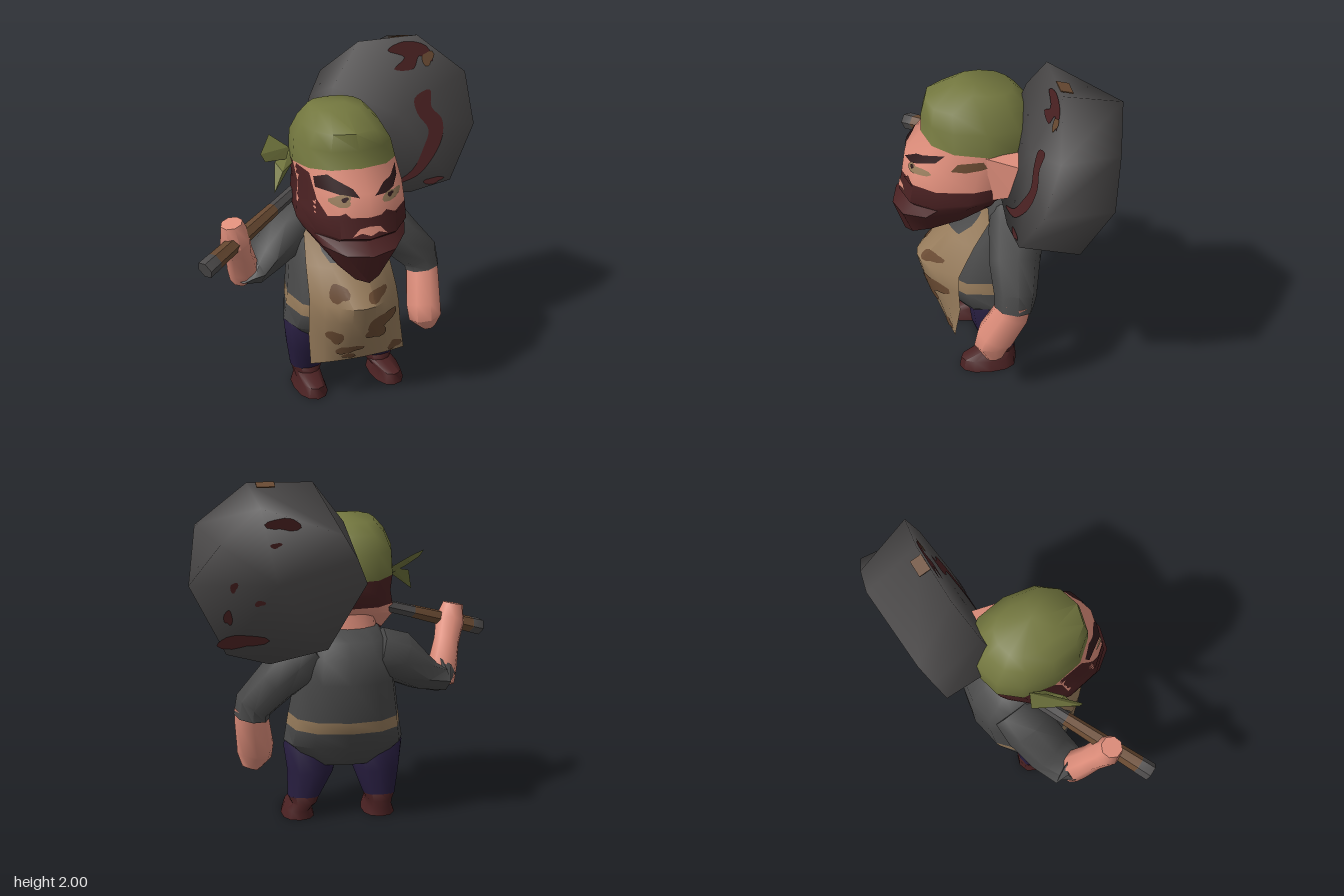
import * as THREE from 'three';
import { toCreasedNormals } from 'three/addons/utils/BufferGeometryUtils.js';
import { ConvexGeometry } from 'three/addons/geometries/ConvexGeometry.js';

const V = (x, y, z) => new THREE.Vector3(x, y, z);
const mat = (name, color, side = THREE.FrontSide) =>
  Object.assign(new THREE.MeshStandardMaterial({ color, side }), { name });

export function createModel() {
  const model = new THREE.Group();
  model.name = 'cook';
  const green = mat('olive cloth', 0x73773f), skin = mat('skin', 0xe08f7c);
  const maroon = mat('dark red', 0x4a2122), tan = mat('tan leather', 0x967b5b, THREE.DoubleSide);
  const brown = mat('brown', 0x694a32), navy = mat('navy cloth', 0x271d3f);
  const grey = mat('shirt grey', 0x494949), iron = mat('iron', 0x4d4b4b);
  const dark = mat('brow brown', 0x301a1c);

  const add = (name, geo, material, parent = model) => {
    const m = new THREE.Mesh(geo, material);
    m.name = name;
    parent.add(m);
    return m;
  };

  // Skin a list of cross-sections; pick(row, column) chooses the material
  function loft(name, rings, mats, pick = () => 0, closed = true, crease = 0.9) {
    const n = rings[0].length, pos = [], lists = mats.map(() => []);
    rings.flat().forEach(p => pos.push(p.x, p.y, p.z));
    for (let i = 0; i < rings.length - 1; i++)
      for (let j = 0; j < (closed ? n : n - 1); j++) {
        const a = i * n + j, b = i * n + (j + 1) % n, c = a + n, d = b + n;
        lists[pick(i, j)].push(a, c, d, a, d, b);
      }
    const geo = new THREE.BufferGeometry();
    geo.setAttribute('position', new THREE.Float32BufferAttribute(pos, 3));
    geo.setIndex(lists.flat());
    let start = 0;
    lists.forEach((l, k) => { if (l.length) geo.addGroup(start, l.length, k); start += l.length; });
    return add(name, toCreasedNormals(geo, crease), mats);
  }

  // Horizontal section: half width, front z, back z, front y, back y, front pinch, centre x
  const pw = v => Math.sign(v) * Math.abs(v) ** 0.85;
  const ring = (w, zf, zb, yf, yb = yf, pinch = 1, cx = 0) => Array.from({ length: 12 }, (_, i) => {
    const a = i * Math.PI / 6, t = 0.5 + 0.5 * pw(Math.cos(a));
    return V(cx + w * pw(Math.sin(a)) * (1 + (pinch - 1) * t), yf * t + yb * (1 - t), zb + (zf - zb) * t);
  });

  // Limb along a path of [x, y, z, radius towards z, other radius]
  function limb(name, path, mats, pick, sides = 8) {
    const pts = path.map(p => V(p[0], p[1], p[2]));
    const rings = path.map((p, i) => {
      const up = pts[Math.max(i - 1, 0)].clone().sub(pts[Math.min(i + 1, pts.length - 1)]).normalize();
      const e1 = V(0, 0, 1).addScaledVector(up, -up.z).normalize();
      const e2 = up.clone().cross(e1);
      return Array.from({ length: sides }, (_, k) => {
        const a = k / sides * Math.PI * 2;
        return pts[i].clone().addScaledVector(e1, p[3] * Math.cos(a)).addScaledVector(e2, (p[4] ?? p[3]) * Math.sin(a));
      });
    });
    const end = i => Array(sides).fill(pts[i]);
    return loft(name, [end(0), ...rings, end(pts.length - 1)], mats, pick);
  }

  const smooth = pts => new THREE.CatmullRomCurve3(pts.map(p => V(p[0], p[1], 0)), true).getPoints(pts.length * 4)
    .slice(0, -1).map(p => [p.x, p.y]);
  const blob = (cx, cy, rx, ry, k = 0) => Array.from({ length: 16 }, (_, i) => {
    const a = i * Math.PI / 8, r = 1 + 0.2 * Math.sin(2 * a + k) + 0.15 * Math.sin(3 * a + 2 * k);
    return [cx + rx * r * Math.cos(a), cy + ry * r * Math.sin(a)];
  });
  const flat = pts => new THREE.ShapeGeometry(new THREE.Shape(pts.map(p => new THREE.Vector2(p[0], p[1]))));

  // Thin patch laid on a mesh from the front as (x, y), or from its left side as (-z, y)
  function paint(name, target, pts, material, lift = 0.006, side = false) {
    const src = flat(pts).toNonIndexed().attributes.position, pos = [], nor = [];
    const ray = new THREE.Raycaster();
    const lay = p => {
      ray.set(side ? V(3, p.y, -p.x) : V(p.x, p.y, 3), side ? V(-1, 0, 0) : V(0, 0, -1));
      return ray.intersectObject(target)[0];
    };
    const split = (a, b, c, depth) => {
      if (depth) {
        const [ab, bc, ca] = [[a, b], [b, c], [c, a]].map(([p, q]) => p.clone().lerp(q, 0.5));
        [[a, ab, ca], [ab, b, bc], [ca, bc, c], [ab, bc, ca]].forEach(t => split(...t, depth - 1));
        return;
      }
      const hits = [a, b, c].map(lay);
      if (hits.some(h => !h)) return;
      hits.forEach(h => {
        pos.push(h.point.x + (side ? lift : 0), h.point.y, h.point.z + (side ? 0 : lift));
        nor.push(...(h.normal || h.face.normal).toArray());
      });
    };
    for (let i = 0; i < src.count; i += 3)
      split(...[0, 1, 2].map(k => new THREE.Vector3().fromBufferAttribute(src, i + k)), 3);
    const geo = new THREE.BufferGeometry();
    geo.setAttribute('position', new THREE.Float32BufferAttribute(pos, 3));
    geo.setAttribute('normal', new THREE.Float32BufferAttribute(nor, 3));
    add(name, geo, material);
  }

  // Head: headscarf, face, beard and nape
  const head = loft('head', [
    ring(0, 0.1, 0.1, 1.785), ring(0.15, 0.2, -0.12, 1.775, 1.745, 1, -0.03), ring(0.215, 0.37, -0.19, 1.7, 1.68, 1, -0.03),
    ring(0.265, 0.395, -0.25, 1.61, 1.58, 1, -0.02), ring(0.285, 0.4, -0.25, 1.51, 1.43, 1, -0.01),
    ring(0.295, 0.495, -0.23, 1.4, 1.34, 0.95), ring(0.32, 0.515, -0.19, 1.27, 1.27, 0.9),
    ring(0.335, 0.535, -0.15, 1.15, 1.24, 0.85), ring(0.335, 0.5, -0.14, 1.125, 1.23, 0.85),
    ring(0.325, 0.575, -0.12, 1.06, 1.215, 0.78), ring(0.3, 0.51, -0.08, 0.87, 1.19, 0.38), ring(0, 0.18, 0.18, 1.05),
  ], [green, skin, maroon], (r, c) => {
    if (r < 4) return 0;
    if (r < 6) return c < 4 || c > 8 ? 1 : 2;
    return r < 10 && c > 3 && c < 8 ? 1 : 2;
  });
  loft('neck', [ring(0.17, 0.12, -0.13, 1.27), ring(0.19, 0.1, -0.15, 1.1)], [skin]);
  add('leftEar', new ConvexGeometry([V(0.27, 1.47, 0.1), V(0.345, 1.41, -0.13), V(0.34, 1.24, -0.06),
    V(0.29, 1.2, 0.06), V(0.22, 1.24, -0.16), V(0.24, 1.47, -0.16)]), skin);
  paint('sideburn', head, [[-0.288, 1.47], [-0.262, 1.47], [-0.25, 1.35], [-0.2, 1.25], [-0.31, 1.25]], maroon);
  paint('moustache', head, [[-0.24, 1.26], [-0.13, 1.3], [-0.09, 1.26]], maroon);
  paint('moustache', head, [[0.05, 1.26], [0.1, 1.295], [0.18, 1.26]], maroon);
  paint('rightBrow', head, [[-0.25, 1.46], [-0.19, 1.485], [-0.08, 1.425], [-0.05, 1.38], [-0.13, 1.4], [-0.25, 1.41]], dark);
  paint('leftBrow', head, [[0.03, 1.385], [0.1, 1.435], [0.22, 1.475], [0.21, 1.43], [0.1, 1.385]], dark);
  paint('temple', head, [[-0.28, 1.4], [-0.24, 1.44], [-0.1, 1.45], [-0.08, 1.41], [-0.2, 1.39]], brown, 0.006, true);
  for (const s of [-1, 1]) {
    paint('eye', head, blob(s * 0.145, 1.365, 0.06, 0.032, s), tan, 0.004);
    paint('pupil', head, blob(s * 0.13, 1.375, 0.018, 0.014), dark, 0.008);
  }
  paint('lip', head, [[-0.1, 1.165], [-0.06, 1.21], [0, 1.225], [0.06, 1.21], [0.1, 1.165], [0.05, 1.185], [0, 1.17], [-0.05, 1.185]], skin);

  // Knotted tails of the headscarf
  add('scarfTail', new ConvexGeometry([V(-0.27, 1.49, -0.07), V(-0.27, 1.44, -0.02), V(-0.49, 1.55, 0.12),
    V(-0.47, 1.51, 0.14), V(-0.37, 1.56, -0.12), V(-0.36, 1.48, 0)]), green);
  add('scarfTail', new ConvexGeometry([V(-0.27, 1.48, -0.05), V(-0.28, 1.43, 0.02), V(-0.42, 1.32, 0.14),
    V(-0.38, 1.45, 0.02), V(-0.36, 1.42, 0.1)]), green);

  // Shirt with apron band
  loft('shirt', [
    ring(0, -0.03, -0.03, 1.17), ring(0.19, 0.08, -0.14, 1.15), ring(0.24, 0.09, -0.21, 1.08),
    ring(0.27, 0.12, -0.28, 1.0), ring(0.29, 0.24, -0.29, 0.85), ring(0.325, 0.34, -0.275, 0.63),
    ring(0.335, 0.34, -0.255, 0.56), ring(0.352, 0.28, -0.2, 0.46), ring(0.21, 0.2, -0.1, 0.33),
    ring(0, 0.04, 0.04, 0.29),
  ], [grey, tan], r => (r === 5 ? 1 : 0));

  // Apron sheet: y, half width, centre z, edge z, centre x
  const apron = loft('apron', [
    [1.08, 0.2, 0.12, 0.06, 0], [1, 0.23, 0.165, 0.06, 0], [0.85, 0.25, 0.28, 0.155, 0], [0.67, 0.265, 0.45, 0.245, 0.005],
    [0.57, 0.275, 0.425, 0.25, 0.01], [0.45, 0.282, 0.385, 0.245, 0.015], [0.275, 0.288, 0.31, 0.28, 0.02],
  ].map(([y, w, zc, ze, cx]) => Array.from({ length: 9 }, (_, j) => {
    const u = j / 4 - 1;
    return V(cx + u * w, y, zc + (ze - zc) * u * u);
  })), [tan], () => 0, false);
  paint('shirtFront', apron, [[-0.17, 1.04], [-0.16, 0.93], [-0.13, 0.88], [0.14, 0.88], [0.17, 0.95], [0.17, 1.04]], grey);
  [[-0.12, 0.74, 0.045, 0.05, 1], [0.1, 0.715, 0.065, 0.03, 0.5], [0.13, 0.54, 0.095, 0.06, 0.6], [0.1, 0.47, 0.06, 0.05, 2],
    [-0.14, 0.46, 0.045, 0.045, 3], [-0.06, 0.36, 0.075, 0.03, 0.4], [0.24, 0.32, 0.04, 0.035, 1], [-0.05, 0.31, 0.035, 0.02, 2]]
    .forEach(b => paint('apronStain', apron, blob(...b), brown));

  // Arms: left one hangs, right one bends up to grip the handle
  limb('leftSleeve', [[0.18, 1.04, -0.1, 0.14], [0.27, 0.97, -0.09, 0.16], [0.4, 0.84, -0.05, 0.145, 0.13],
    [0.53, 0.7, -0.03, 0.12, 0.115], [0.54, 0.63, -0.02, 0.112, 0.106]], [grey]);
  limb('leftForearm', [[0.54, 0.68, -0.03, 0.1], [0.54, 0.6, -0.01, 0.108, 0.1], [0.515, 0.42, 0.08, 0.115, 0.108],
    [0.52, 0.36, 0.1, 0.105], [0.545, 0.28, 0.09, 0.05]], [skin]);
  limb('rightSleeve', [[-0.17, 1.01, -0.1, 0.14], [-0.29, 0.97, -0.08, 0.15, 0.15], [-0.44, 0.86, -0.03, 0.14, 0.11],
    [-0.55, 0.81, 0.02, 0.13, 0.085], [-0.59, 0.85, 0.06, 0.1, 0.09]], [grey]);
  limb('rightForearm', [[-0.6, 0.76, 0.02, 0.06], [-0.595, 0.86, 0.06, 0.09], [-0.635, 1, 0.13, 0.078],
    [-0.67, 1.11, 0.2, 0.095, 0.088], [-0.69, 1.21, 0.21, 0.062]], [skin]);

  // Legs and boots
  for (const [name, s, ankle, toe] of [['right', -1, 0.21, 0.21], ['left', 1, 0.24, 0.272]]) {
    loft(name + 'TrouserLeg', [
      ring(0.12, 0.14, -0.04, 0.54, 0.54, 1, s * 0.19), ring(0.163, 0.18, -0.08, 0.43, 0.43, 1, s * 0.19),
      ring(0.138, 0.16, -0.095, 0.28, 0.28, 1, s * 0.195), ring(0.096, 0.1, -0.085, 0.13, 0.13, 1, s * ankle),
    ], [navy]);
    loft(name + 'Boot', [
      ring(0, 0, 0, 0.2, 0.2, 1, s * ankle), ring(0.096, 0.1, -0.085, 0.13, 0.135, 1, s * ankle),
      ring(0.078, 0.11, -0.09, 0.1, 0.09, 1, s * ankle), ring(0.085, 0.24, -0.09, 0.065, 0.05, 0.8, s * toe),
      ring(0.105, 0.25, -0.09, 0, 0, 0.85, s * toe), ring(0, 0.08, 0.08, 0, 0, 1, s * toe),
    ], [maroon]);
  }

  // Pan handle with iron ends
  const A = V(-0.885, 1.03, 0.36), B = V(0.12, 1.38, -0.23);
  limb('panHandle', [0, 0.07, 0.071, 0.47, 0.471, 1].map((t, i) =>
    [...A.clone().lerp(B, t).toArray(), [0.053, 0.051, 0.05, 0.039, 0.038, 0.033][i]]),
  [iron, brown], r => (r > 1 && r < 5 ? 1 : 0), 6);

  // Big iron pan, tilted back, with uneven front and back outlines
  const pan = new THREE.Group();
  pan.name = 'pan';
  pan.position.set(0.42, 1.565, -0.125);
  pan.rotation.x = -0.287;
  model.add(pan);
  const outline = (pts, z) => pts.map(([u, v]) => V(u, v, z)).reverse();
  const front = [[-0.39, 0.21], [-0.21, 0.45], [0.15, 0.45], [0.43, 0.21], [0.46, -0.1], [0.28, -0.41],
    [0.02, -0.45], [-0.3, -0.4], [-0.46, -0.1]];
  const back = [[-0.42, 0.15], [-0.34, 0.29], [0.1, 0.45], [0.31, 0.25], [0.48, 0.015], [0.28, -0.41],
    [0.04, -0.48], [-0.28, -0.4], [-0.48, 0]];
  const centre = z => Array(9).fill(V(0, 0, z));
  pan.add(loft('panBody', [centre(0), outline(front, 0), outline(back, -0.35), centre(-0.35)], [iron], () => 0, true, 2));
  const rust = add('rimRust', new THREE.BoxGeometry(0.1, 0.006, 0.07), brown, pan);
  rust.position.set(0.05, 0.451, -0.036);

  // Stains on both faces of the pan
  const stains = [
    smooth([[-0.04, 0.38], [0.06, 0.42], [0.2, 0.38], [0.23, 0.29], [0.15, 0.33], [0.11, 0.26], [-0.01, 0.27], [0.06, 0.33]]),
    smooth([[0.1, 0.09], [0.2, 0.13], [0.2, 0.03], [0.26, -0.05], [0.25, -0.16], [0.16, -0.29], [0.07, -0.36], [-0.08, -0.39],
      [0.05, -0.32], [0.13, -0.2], [0.17, -0.1], [0.11, 0]]),
    blob(0.17, -0.4, 0.06, 0.018), blob(-0.32, -0.02, 0.03, 0.09, 1),
  ];
  stains.forEach(p => add('frontStain', flat(p), maroon, pan).position.z = 0.005);
  add('frontRust', flat(blob(0.2, 0.31, 0.035, 0.04)), brown, pan).position.z = 0.008;
  [[0.2, -0.33, 0.12, 0.045, 1], [0.27, -0.18, 0.02, 0.05, 2], [0.24, 0, 0.02, 0.03], [-0.02, 0.36, 0.08, 0.04, 2],
    [0.02, 0.24, 0.03, 0.015], [0.1, -0.1, 0.025, 0.02, 1]].forEach(b => {
    const m = add('backStain', flat(blob(-b[0], ...b.slice(1))), maroon, pan);
    m.position.z = -0.355;
    m.rotation.y = Math.PI;
  });
  return model;
}
